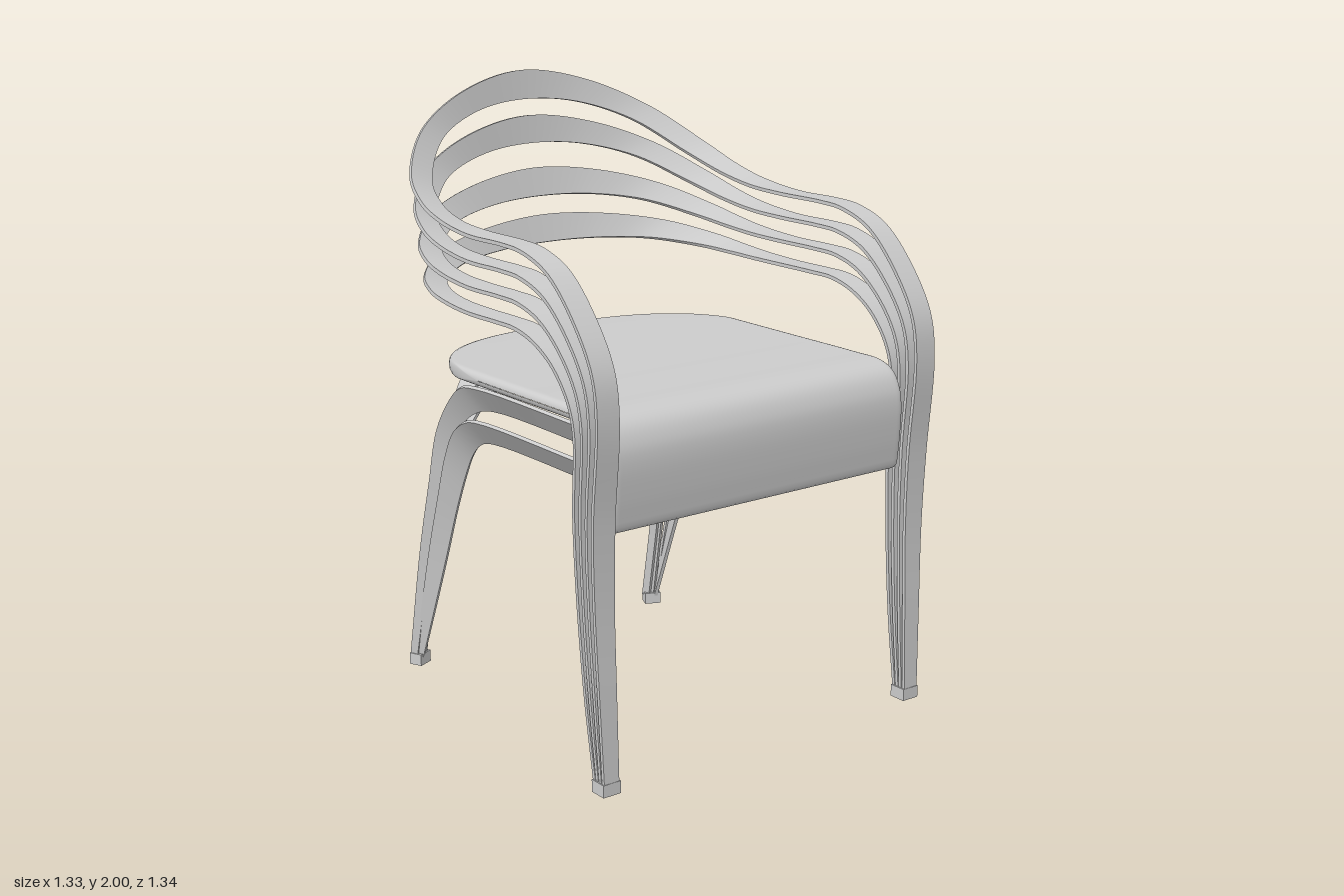
import * as THREE from 'three';
import { mergeVertices } from 'three/addons/utils/BufferGeometryUtils.js';

const V = (x, y, z) => new THREE.Vector3(x, y, z);
const lerp = THREE.MathUtils.lerp;
const material = new THREE.MeshStandardMaterial({ color: 0xcccccc });

// Skin a list of closed rings; sharp keeps the ring corners as hard edges.
function loft(rings, sharp) {
  const pos = [], idx = [], m = rings[0].length;
  const put = (p) => pos.push(p.x, p.y, p.z) / 3 - 1;
  for (let k = 0; k < m; k++) {
    const base = pos.length / 3;
    for (const r of rings) { put(r[k]); put(r[(k + 1) % m]); }
    for (let i = 0; i < rings.length - 1; i++) {
      const a = base + i * 2;
      idx.push(a, a + 1, a + 2, a + 1, a + 3, a + 2);
    }
  }
  if (sharp) {
    const s = rings[0].map(put), e = rings[rings.length - 1].map(put);
    for (let k = 1; k < m - 1; k++) idx.push(s[0], s[k + 1], s[k], e[0], e[k], e[k + 1]);
  }
  let g = new THREE.BufferGeometry();
  g.setAttribute('position', new THREE.Float32BufferAttribute(pos, 3));
  g.setIndex(idx);
  if (!sharp) g = mergeVertices(g, 1e-5);
  g.computeVertexNormals();
  return g;
}

// Thin bent-wood strip spanning two edge curves.
function strip(edgeA, edgeB, thickness = 0.012) {
  const a = new THREE.CatmullRomCurve3(edgeA), b = new THREE.CatmullRomCurve3(edgeB);
  const n = (edgeA.length - 1) * 7, rings = [];
  for (let i = 0; i <= n; i++) {
    const t = i / n, p = a.getPoint(t), q = b.getPoint(t);
    const dir = a.getTangent(t).add(b.getTangent(t));
    const off = dir.cross(p.clone().sub(q)).setLength(thickness / 2);
    rings.push([p.clone().add(off), q.clone().add(off), q.clone().sub(off), p.clone().sub(off)]);
  }
  return loft(rings, true);
}

const flip = (pts) => pts.map((p) => V(-p.x, p.y, p.z));
// Half path ending on x = 0, continued on the other side.
const whole = (pts) => [...pts, ...flip(pts.slice(0, -1)).reverse()];

// Front leg and arm profile [z, y] of the outermost and innermost band.
const OUTER = [[.655, .03], [.645, .3], [.635, .6], [.64, .85], [.662, 1.15], [.64, 1.29], [.56, 1.42], [.43, 1.545], [.3, 1.592], [.2, 1.6], [0, 1.6]];
const INNER = [[.61, .03], [.575, .3], [.553, .6], [.547, .85], [.55, 1.1], [.52, 1.19], [.45, 1.275], [.36, 1.33], [.26, 1.357], [.16, 1.36], [0, 1.36]];
// Backrest sweep [x, fraction of rise, fraction of depth].
const BACK_TOP = [[.655, .06, .27], [.64, .15, .45], [.6, .31, .63], [.465, .62, .842], [.25, .88, .958], [0, 1, 1]];
const BACK_LOW = [[.58, .03, .24], [.563, .13, .45], [.52, .32, .65], [.385, .7, .865], [.2, .93, .968], [0, 1, 1]];
const BANDS = [
  { riseA: .395, riseB: .298, depthA: .663, depthB: .65 },
  { riseA: .325, riseB: .232, depthA: .632, depthB: .62 },
  { riseA: .23, riseB: .137, depthA: .6, depthB: .572 },
  { riseA: .155, riseB: .066, depthA: .557, depthB: .527 },
];

function armBand(i) {
  const { riseA, riseB, depthA, depthB } = BANDS[i], t = i / 3;
  const side = OUTER.map(([z, y], k) => [lerp(z, INNER[k][0], t), lerp(y, INNER[k][1], t)]);
  const armY = side[side.length - 1][1];
  const a = side.map(([z, y]) => V(Math.min(.665, .64 + y * .03), y, z));
  const b = side.map(([z, y]) => V(.586, y, z));
  BACK_TOP.forEach(([x, r, d]) => a.push(V(x, armY + riseA * r, -depthA * d)));
  BACK_LOW.forEach(([x, r, d]) => b.push(V(x, armY + riseB * r, -depthB * d)));
  return strip(whole(a), whole(b));
}

// Seat: lengthwise slices with a waterfall front and a rounded back.
function seatGeometry() {
  const W = .58, H = .0225, rings = [], n = 56;
  for (let i = 0; i <= n; i++) {
    const x = W * Math.sin((i / n - .5) * Math.PI), ax = Math.min(Math.abs(x), W);
    const e = Math.max(0, (ax - W + H) / H);
    const h = Math.max(.0004, H * Math.sqrt(Math.max(0, 1 - e * e)));
    const back = -.1 - .43 * Math.pow(Math.max(0, 1 - Math.pow(ax / W, 2.5)), 1 / 2.5);
    const path = new THREE.CatmullRomCurve3([
      [.59, .812], [.599, .9], [.602, 1], [.593, 1.05], [.567, 1.093], [.52, 1.114], [.4, 1.1175], [.1, 1.1175], [back + H, 1.1175],
    ].map(([z, y]) => V(x, y, z)));
    const top = [], low = [], m = 48;
    for (let k = 0; k <= m; k++) {
      const p = path.getPoint(k / m), d = path.getTangent(k / m);
      const up = V(0, d.z, -d.y).multiplyScalar(-h);
      top.push(p.clone().add(up));
      low.push(p.clone().sub(up));
    }
    // half-round nose at either end of the slice
    const nose = (t, sign) => {
      const p = path.getPoint(t), d = path.getTangent(t), out = [];
      const up = V(0, -d.z, d.y);
      for (let k = 1; k < 6; k++) {
        const f = k / 6 * Math.PI;
        out.push(p.clone().addScaledVector(up, sign * h * Math.cos(f)).addScaledVector(d, sign * h * Math.sin(f)));
      }
      return out;
    };
    rings.push([...top, ...nose(1, 1), ...low.reverse(), ...nose(0, -1)].reverse());
  }
  // orient the skin outward whichever way the slices wind
  const g = loft(rings, false), p = g.attributes.position, ix = g.index;
  let volume = 0;
  const [a, b, c] = [V(), V(), V()];
  for (let i = 0; i < ix.count; i += 3) {
    [a, b, c].forEach((v, k) => v.fromBufferAttribute(p, ix.getX(i + k)));
    volume += a.dot(b.cross(c));
  }
  if (volume < 0) { ix.array.reverse(); g.computeVertexNormals(); }
  return g;
}

// Side rails sweeping down into the rear legs: [x, y, z] of both edges.
const pts = (list) => list.map((p) => V(...p));
const RAILS = {
  upperSideRail: [
    [[.575, 1.09, .57], [.575, 1.09, -.1], [.57, 1.07, -.2], [.56, 1, -.29], [.55, .88, -.38], [.54, .7, -.445], [.535, .43, -.525], [.53, .03, -.612]],
    [[.52, 1.012, .57], [.52, 1.012, -.08], [.52, .99, -.17], [.52, .94, -.25], [.515, .84, -.32], [.515, .69, -.39], [.515, .42, -.49], [.518, .03, -.586]]],
  lowerSideRail: [
    [[.575, .98, .57], [.575, .98, -.1], [.57, .96, -.18], [.56, .91, -.26], [.545, .81, -.335], [.535, .66, -.4], [.525, .42, -.488], [.518, .03, -.6]],
    [[.52, .905, .57], [.52, .905, -.08], [.515, .885, -.16], [.51, .835, -.22], [.505, .75, -.275], [.5, .62, -.34], [.498, .42, -.42], [.503, .03, -.572]]],
};
// Rear arches from leg to leg, half of each.
const ARCHES = {
  upperRearArch: [
    [[.495, .03, -.614], [.485, .42, -.545], [.465, .7, -.5], [.43, .88, -.485], [.38, 1, -.495], [.31, 1.065, -.512], [.22, 1.088, -.52], [0, 1.09, -.52]],
    [[.505, .03, -.585], [.49, .42, -.505], [.475, .69, -.445], [.44, .86, -.425], [.385, .975, -.42], [.31, 1.04, -.42], [.22, 1.06, -.42], [0, 1.065, -.42]]],
  lowerRearArch: [
    [[.48, .03, -.62], [.467, .42, -.545], [.437, .65, -.508], [.4, .8, -.5], [.345, .92, -.51], [.27, .995, -.525], [.18, 1.027, -.535], [0, 1.03, -.535]],
    [[.488, .03, -.59], [.475, .42, -.512], [.448, .64, -.46], [.41, .78, -.445], [.35, .89, -.445], [.27, .955, -.455], [.18, .982, -.46], [0, .985, -.46]]],
};

export function createModel() {
  const chair = new THREE.Group();
  chair.name = 'armchair';
  const add = (name, geometry) => {
    const mesh = new THREE.Mesh(geometry, material);
    mesh.name = name;
    chair.add(mesh);
    return mesh;
  };

  add('seat', seatGeometry());
  BANDS.forEach((_, i) => add(`armBand${i + 1}`, armBand(i)));
  for (const [name, [a, b]] of Object.entries(ARCHES)) add(name, strip(whole(pts(a)), whole(pts(b))));

  for (const s of [1, -1]) {
    const side = s > 0 ? 'left' : 'right';
    for (const [name, [a, b]] of Object.entries(RAILS)) {
      const turn = (l) => (s > 0 ? pts(l) : flip(pts(l)));
      add(`${side}${name[0].toUpperCase()}${name.slice(1)}`, strip(turn(a), turn(b)));
    }
    // feet
    add(`${side}FrontFoot`, new THREE.BoxGeometry(.064, .04, .06)).position.set(s * .613, .02, .632);
    const rear = add(`${side}RearFoot`, new THREE.BoxGeometry(.058, .04, .046));
    rear.position.set(s * .503, .02, -.598);
    rear.rotation.y = -s * .42;
  }
  return chair;
}
